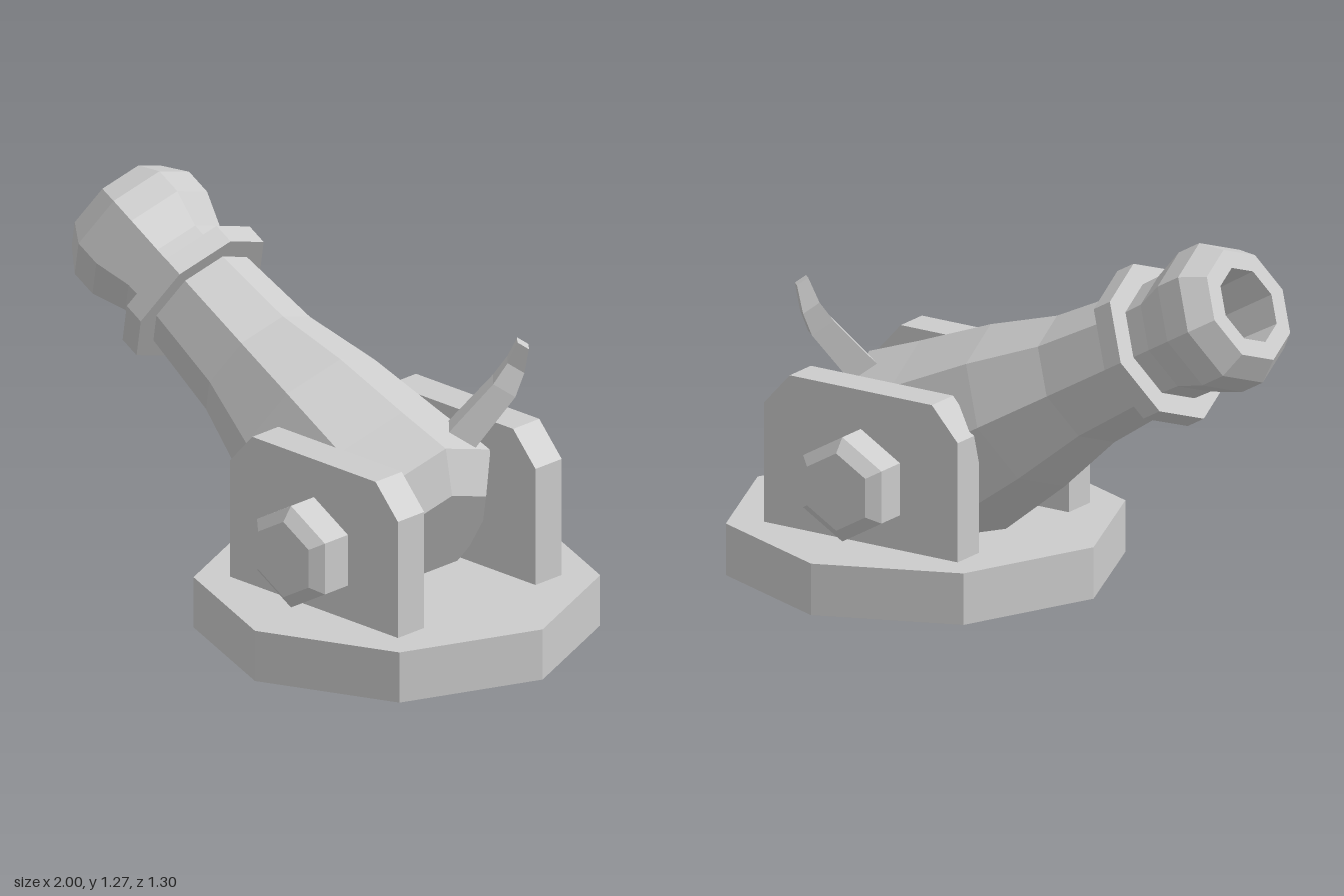
import * as THREE from 'three';

const mat = new THREE.MeshStandardMaterial({ color: 0xcccccc, flatShading: true });
const PIVOT = [0.345, 0.385];

function add(parent, name, geometry) {
  const mesh = new THREE.Mesh(geometry, mat);
  mesh.name = name;
  parent.add(mesh);
  return mesh;
}

export function createModel() {
  const model = new THREE.Group();
  model.name = 'cannon';

  // Octagonal base with corners on the axes
  add(model, 'base', new THREE.CylinderGeometry(0.65, 0.65, 0.173, 8)).position.set(0.35, 0.0935, 0);

  // Chamfered side plates and bevelled hexagonal bolts
  const plate = new THREE.Shape([
    [-0.03, 0.18], [0.72, 0.18], [0.72, 0.58], [0.62, 0.69], [0.07, 0.69], [-0.03, 0.58],
  ].map(([x, y]) => new THREE.Vector2(x, y)));
  const plateGeo = new THREE.ExtrudeGeometry(plate, { depth: 0.12, bevelEnabled: false });
  const boltGeo = new THREE.LatheGeometry(
    [[0.175, 0], [0.175, 0.105], [0.13, 0.14], [0, 0.14]].map(([r, y]) => new THREE.Vector2(r, y)), 6);
  for (const s of [1, -1]) {
    const side = s > 0 ? 'front' : 'back';
    add(model, side + 'Plate', plateGeo).position.z = s > 0 ? 0.255 : -0.375;
    const bolt = add(model, side + 'Bolt', boltGeo);
    bolt.position.set(PIVOT[0], PIVOT[1], s * 0.375);
    bolt.rotation.x = s * Math.PI / 2;
  }

  // Barrel: eight-sided lathe, tilted 30 degrees about the bolts, bore included
  const profile = [
    [0, -0.147], [0.28, -0.147], [0.368, -0.045], [0.331, 0.16], [0.285, 0.45], [0.222, 0.71],
    [0.2, 1.008], [0.272, 1.008], [0.272, 1.08], [0.2, 1.08], [0.202, 1.15],
    [0.245, 1.267], [0.245, 1.359], [0.193, 1.437], [0.13, 1.437], [0.12, 1.1], [0, 1.1],
  ].map(([r, y]) => new THREE.Vector2(r, y));
  const barrelGeo = new THREE.LatheGeometry(profile, 8);
  const bp = barrelGeo.attributes.position;
  // The breech face sits slightly below the axis
  for (let i = 0; i < bp.count; i++) if (bp.getY(i) < -0.1) bp.setX(i, bp.getX(i) - 0.032);
  const barrel = add(model, 'barrel', barrelGeo);
  barrel.position.set(PIVOT[0], PIVOT[1], 0);
  barrel.rotation.z = Math.PI / 3;

  // Fuse: four-sided sections [x, y, z, radius] along a bent path
  const path = [
    [0.5, 0.67, -0.145, 0.06], [0.585, 0.83, -0.25, 0.05],
    [0.605, 0.9, -0.283, 0.038], [0.637, 0.982, -0.283, 0.026],
  ];
  const fuseGeo = new THREE.CylinderGeometry(1, 1, 3, 4, 3);
  const fp = fuseGeo.attributes.position;
  for (let i = 0; i < fp.count; i++) {
    const [x, y, z, r] = path[Math.round(fp.getY(i) + 1.5)];
    const dx = fp.getX(i) * r, dz = fp.getZ(i) * r;
    fp.setXYZ(i, x + dx, y - 0.5 * dx + 0.4 * dz, z + dz);
  }
  add(model, 'fuse', fuseGeo);

  return model;
}
